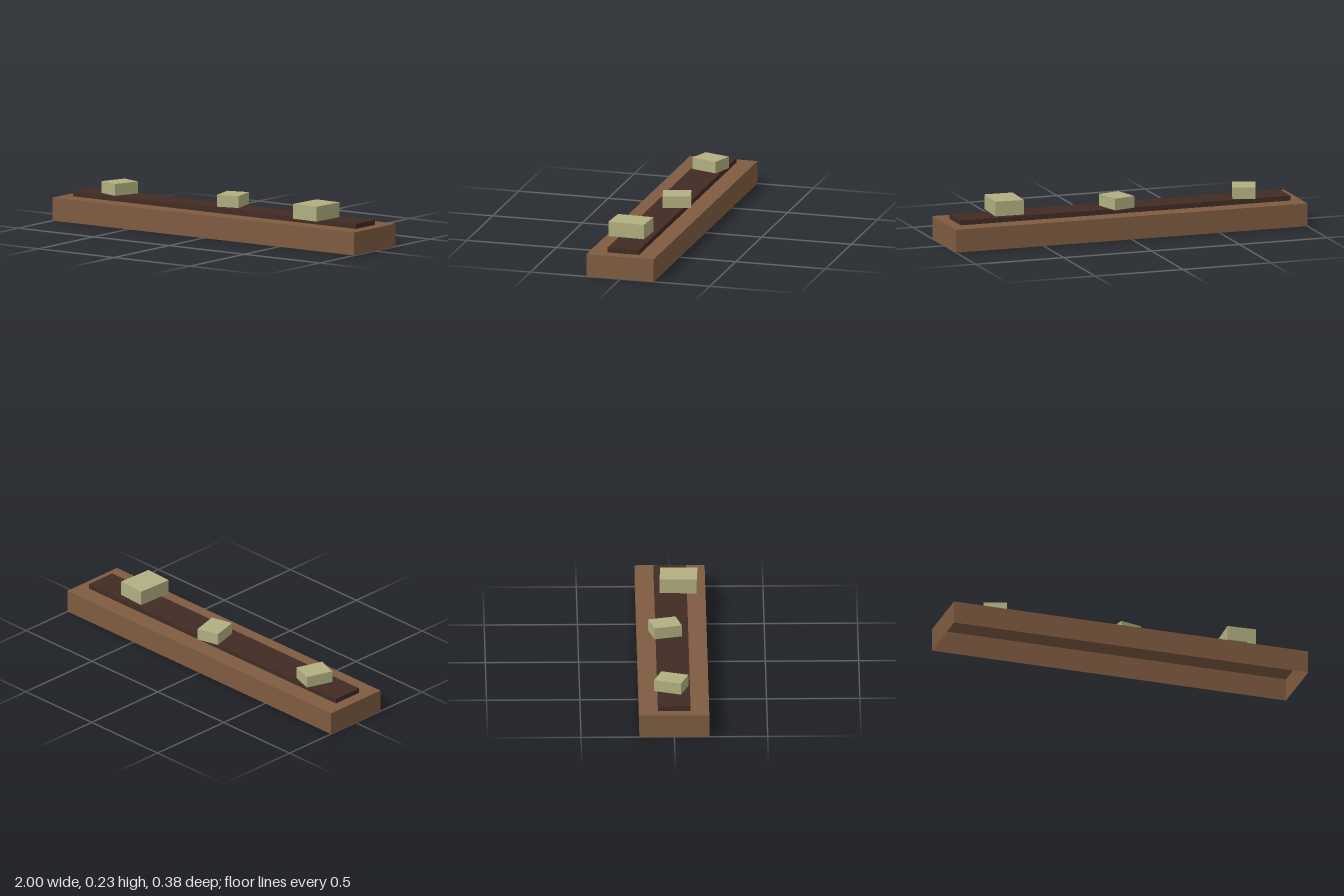
import * as THREE from 'three';

// Box without its underside, standing on height y
function openBox(name, material, w, h, d, x, y, z, turn = 0) {
  const geometry = new THREE.BoxGeometry(w, h, d);
  const index = Array.from(geometry.index.array);
  index.splice(18, 6); // drop the bottom face
  geometry.setIndex(index);
  geometry.clearGroups();
  geometry.translate(0, h / 2, 0);
  const mesh = new THREE.Mesh(geometry, material);
  mesh.name = name;
  mesh.position.set(x, y, z);
  mesh.rotation.y = turn;
  return mesh;
}

function flat(name, color) {
  const material = new THREE.MeshStandardMaterial({ color, side: THREE.DoubleSide });
  material.name = name;
  return material;
}

export function createModel() {
  const group = new THREE.Group();
  group.name = 'plankWithBlocks';
  const wood = flat('brown wood', 0x7f5c41);
  const dark = flat('dark brown', 0x412c23);
  const pale = flat('pale olive', 0xb1af80);

  // Hollow base and the raised strip on top
  group.add(openBox('base', wood, 2, 0.125, 0.375, 0, 0, 0));
  group.add(openBox('strip', dark, 1.875, 0.027, 0.175, 0, 0.125, 0));

  // Loose blocks: width, height, depth, x, z, turn
  const blocks = [
    ['rightBlock', 0.125, 0.064, 0.152, -0.7, -0.013, -0.33],
    ['middleBlock', 0.125, 0.064, 0.152, 0.032, -0.037, 0.26],
    ['leftBlock', 0.16, 0.08, 0.2, 0.644, 0.043, -0.04],
  ];
  for (const [name, w, h, d, x, z, turn] of blocks) {
    group.add(openBox(name, pale, w, h, d, x, 0.152, z, turn));
  }
  return group;
}
